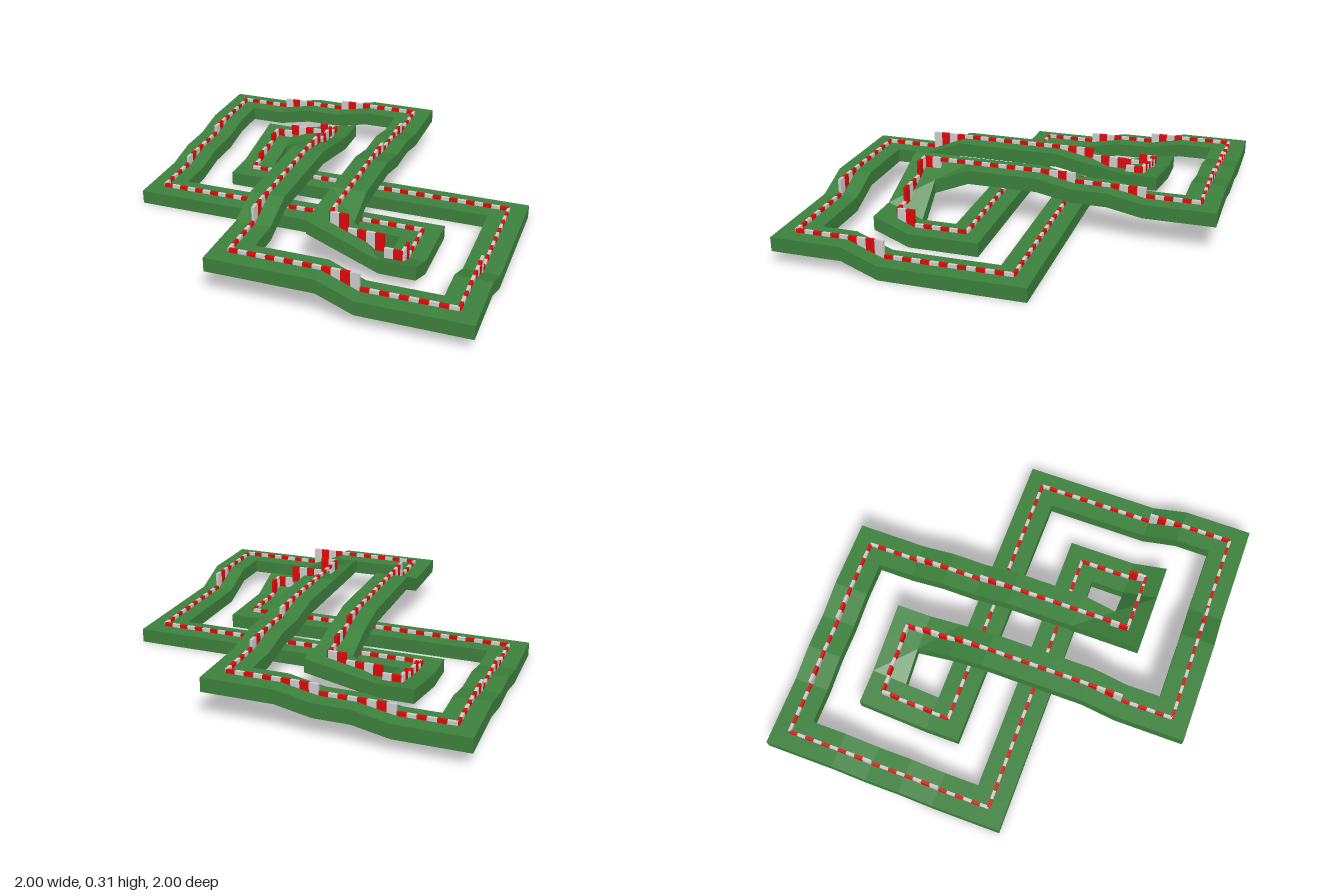
import * as THREE from 'three';
import { mergeGeometries } from 'three/addons/utils/BufferGeometryUtils.js';

const CELL = 2 / 11;        // road width and tile length
const STEP = CELL / 5;      // half of the road thickness
const THICK = STEP * 2;
const CURB = STEP / 2;      // curb height above the road

const corners = [[-0.5, -0.5], [-0.5, 0.5], [0.5, 0.5], [0.5, -0.5]];
const outward = [[-1, 0], [0, 1], [1, 0], [0, -1]];
const key = (x, z) => `${x},${z}`;

// Tile centres where the route turns
const route = [[-5, 1], [3, 1], [3, 3], [1, 3], [1, -5], [-5, -5]];
// Height change of each sloping tile, by its index along the route
const backRises = { 10: 2, 11: 2, 12: 2, 16: -1, 18: -1, 22: -1, 24: -1, 28: -1, 30: -1 };
const frontRises = { 9: 1, 10: 1, 11: 1, 12: 1, 13: 1, 14: 1, 18: -2, 23: -2, 28: -2 };

// Walk the closed route tile by tile; sign -1 turns it half a revolution
function makeTiles(rises, sign) {
  const tiles = [];
  route.forEach(([x, z], i) => {
    const [nx, nz] = route[(i + 1) % route.length];
    const dx = Math.sign(nx - x), dz = Math.sign(nz - z);
    const count = Math.abs(nx - x) + Math.abs(nz - z);
    for (let k = 0; k < count; k++) {
      tiles.push({
        x: (x + dx * k) * sign, z: (z + dz * k) * sign,
        out: [dx * sign, dz * sign],
        rise: rises[tiles.length] || 0,
      });
    }
  });
  let level = 0, previous = {};
  tiles.forEach((t, i) => {
    t.in = tiles[(i + tiles.length - 1) % tiles.length].out;
    t.from = level;
    t.to = level += t.rise;
    // near corners continue the previous tile, far corners reach the new level
    const current = {};
    t.heights = corners.map(([a, b]) => {
      const id = key(t.x + a, t.z + b);
      const far = a * t.in[0] + b * t.in[1] > 0;
      return (current[id] = far ? t.to : previous[id] ?? t.from);
    });
    previous = current;
  });
  return tiles;
}

function roadGeometry(tiles) {
  const pos = [];
  const quad = (a, b, c, d) => [a, b, c, a, c, d].forEach((p) => pos.push(...p));
  for (const t of tiles) {
    const low = corners.map(([a, b], i) =>
      [(t.x + a) * CELL, t.heights[i] * STEP, (t.z + b) * CELL]);
    const top = low.map(([x, y, z]) => [x, y + THICK, z]);
    quad(...top);
    quad(low[3], low[2], low[1], low[0]);
    outward.forEach(([x, z], i) => {
      const entry = x === -t.in[0] && z === -t.in[1];
      const exit = x === t.out[0] && z === t.out[1];
      const j = (i + 1) % 4;
      if (!entry && !exit) quad(top[i], low[i], low[j], top[j]);
    });
  }
  const g = new THREE.BufferGeometry();
  g.setAttribute('position', new THREE.Float32BufferAttribute(pos, 3));
  g.computeVertexNormals();
  return g;
}

// Level curb blocks along the centre line, taller on slopes
function curbGeometry(tiles, parity) {
  const blocks = [];
  for (const t of tiles) {
    const base = Math.min(t.from, t.to) * STEP + THICK;
    const height = Math.abs(t.rise) * STEP + CURB;
    [-0.375, -0.125, 0.125, 0.375].forEach((s, i) => {
      if (i % 2 !== parity) return;
      const [dx, dz] = s < 0 ? t.in : t.out;
      const long = CELL / 4, thin = 0.015;
      const g = new THREE.BoxGeometry(dx ? long : thin, height, dz ? long : thin);
      g.translate((t.x + dx * s) * CELL, base + height / 2, (t.z + dz * s) * CELL);
      blocks.push(g);
    });
  }
  return mergeGeometries(blocks);
}

export function createModel() {
  const model = new THREE.Group();
  model.name = 'interlacedTrack';
  const green = new THREE.MeshStandardMaterial({ color: 0x3c803c, flatShading: true });
  const red = new THREE.MeshStandardMaterial({ color: 0xdd0808 });
  const grey = new THREE.MeshStandardMaterial({ color: 0xcccccc });

  [['backLoop', backRises, 1], ['frontLoop', frontRises, -1]].forEach(([name, rises, sign]) => {
    const tiles = makeTiles(rises, sign);
    const loop = new THREE.Group();
    loop.name = name;
    const add = (part, geometry, material) => {
      const mesh = new THREE.Mesh(geometry, material);
      mesh.name = part;
      loop.add(mesh);
    };
    add('road', roadGeometry(tiles), green);
    add('redCurbBlocks', curbGeometry(tiles, 0), red);
    add('greyCurbBlocks', curbGeometry(tiles, 1), grey);
    model.add(loop);
  });
  return model;
}
